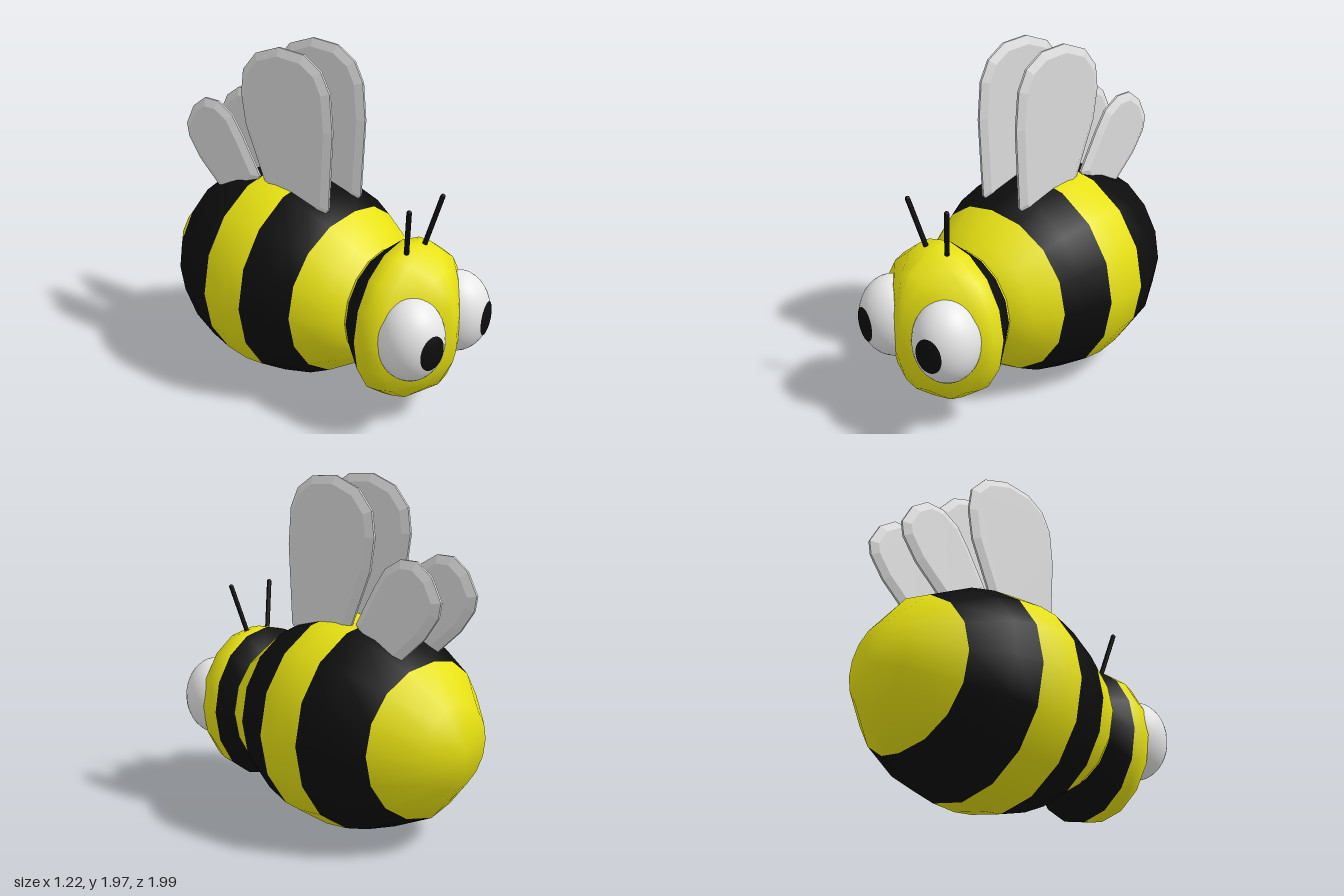
import * as THREE from 'three';
import { mergeVertices } from 'three/addons/utils/BufferGeometryUtils.js';

const material = (name, color, extra = {}) => {
  const m = new THREE.MeshStandardMaterial({ color, ...extra });
  m.name = name;
  return m;
};

// Smooth skin through elliptical rings from back to front.
// ring: [z, radiusX, radiusY, centreY, extra z at top and bottom, colour of the band in front of it]
function loft(rings, sides = 16) {
  const pos = [], index = [];
  const geo = new THREE.BufferGeometry();
  for (const [z, rx, ry, cy, bulge] of rings) {
    for (let j = 0; j < sides; j++) {
      const t = (j / sides) * Math.PI * 2;
      pos.push(rx * Math.sin(t), cy + ry * Math.cos(t), z + bulge * (1 - Math.abs(Math.sin(t))));
    }
  }
  for (let i = 0; i < rings.length - 1; i++) {
    geo.addGroup(index.length, sides * 6, rings[i][5]);
    for (let j = 0; j < sides; j++) {
      const a = i * sides + j, b = i * sides + ((j + 1) % sides);
      index.push(a, a + sides, b, b, a + sides, b + sides);
    }
  }
  geo.setAttribute('position', new THREE.Float32BufferAttribute(pos, 3));
  geo.setIndex(index);
  const merged = mergeVertices(geo, 1e-4);
  merged.computeVertexNormals();
  return merged;
}

// Bevelled wing plate from a [z, y] outline, centred on x = 0
function wingGeometry(outline) {
  const shape = new THREE.Shape(outline.map(([z, y]) => new THREE.Vector2(-z, y)));
  const geo = new THREE.ExtrudeGeometry(shape, {
    depth: 0.012, bevelEnabled: true, bevelSegments: 1,
    bevelThickness: 0.021, bevelSize: 0.045, bevelOffset: -0.045,
  });
  geo.translate(0, 0, -0.006);
  geo.rotateY(Math.PI / 2);
  return geo;
}

export function createModel() {
  const group = new THREE.Group();
  const yellow = material('yellow', 0xe8e212);
  const black = material('black', 0x0d0d0d);
  const white = material('eye white', 0xe8e8e8);
  const wingGrey = material('wing grey', 0xdcdcdc, { flatShading: true });
  const add = (name, geo, mat) => {
    const mesh = new THREE.Mesh(geo, mat);
    mesh.name = name;
    group.add(mesh);
    return mesh;
  };
  const Y = 0, B = 1;

  // Striped body
  add('body', loft([
    [-1.0, 0, 0, 0.607, 0, Y],
    [-0.94, 0.233, 0.233, 0.607, 0, Y],
    [-0.72, 0.445, 0.43, 0.607, -0.055, B],
    [-0.506, 0.564, 0.555, 0.607, 0, B],
    [-0.355, 0.595, 0.592, 0.607, 0, Y],
    [-0.2, 0.61, 0.607, 0.607, 0, Y],
    [-0.08, 0.6, 0.597, 0.607, 0, B],
    [0.1, 0.55, 0.55, 0.607, 0, B],
    [0.2, 0.5, 0.485, 0.607, 0.045, Y],
    [0.37, 0.42, 0.39, 0.603, 0, Y],
    [0.445, 0.32, 0.315, 0.6, 0, Y],
  ]), [yellow, black]);

  // Head with a neck band and a pointed face
  add('head', loft([
    [0.44, 0.32, 0.315, 0.6, 0, Y],
    [0.458, 0.328, 0.325, 0.598, 0, B],
    [0.575, 0.4, 0.46, 0.56, 0, Y],
    [0.65, 0.405, 0.452, 0.565, 0, Y],
    [0.73, 0.375, 0.432, 0.565, 0, Y],
    [0.85, 0.2, 0.345, 0.575, 0, Y],
    [0.92, 0.07, 0.215, 0.585, 0, Y],
    [0.955, 0, 0, 0.59, 0, Y],
  ]), [yellow, black]);

  const bigWing = wingGeometry([
    [0.1, 1.04], [0.175, 1.12], [0.2, 1.57], [0.18, 1.78], [0.12, 1.89], [0, 1.96], [-0.18, 1.97],
    [-0.35, 1.91], [-0.45, 1.8], [-0.47, 1.66], [-0.44, 1.48], [-0.31, 1.19], [-0.24, 1.04],
  ]);
  const smallWing = wingGeometry([
    [-0.42, 1.06], [-0.34, 1.19], [-0.47, 1.4], [-0.55, 1.51], [-0.66, 1.57], [-0.77, 1.57],
    [-0.87, 1.5], [-0.935, 1.38], [-0.92, 1.3], [-0.83, 1.18], [-0.69, 1.06], [-0.6, 0.98],
  ]);

  for (const s of [1, -1]) {
    const side = s > 0 ? 'left' : 'right';

    // Wings
    add(side + 'FrontWing', bigWing, wingGrey).position.x = s * 0.138;
    add(side + 'RearWing', smallWing, wingGrey).position.x = s * 0.138;

    // Eye, with the pupil as a thin cap lying on it
    const eye = add(side + 'Eye', new THREE.SphereGeometry(1, 32, 20), white);
    const cap = new THREE.SphereGeometry(1.025, 28, 6, 0, Math.PI * 2, 0, 0.43);
    cap.rotateX(Math.PI / 2 + 0.04);
    cap.rotateY(s * 0.22);
    const pupil = add(side + 'Pupil', cap, black);
    for (const part of [eye, pupil]) {
      part.position.set(s * 0.212, 0.59, 0.805);
      part.scale.set(0.188, 0.234, 0.185);
    }

    // Antenna
    const path = new THREE.LineCurve3(
      new THREE.Vector3(s * 0.075, 0.97, 0.66), new THREE.Vector3(s * 0.148, 1.265, 0.722));
    add(side + 'Antenna', new THREE.TubeGeometry(path, 1, 0.014, 10), black);
    add(side + 'AntennaTip', new THREE.SphereGeometry(0.014, 10, 8), black).position.copy(path.v2);
  }
  return group;
}
